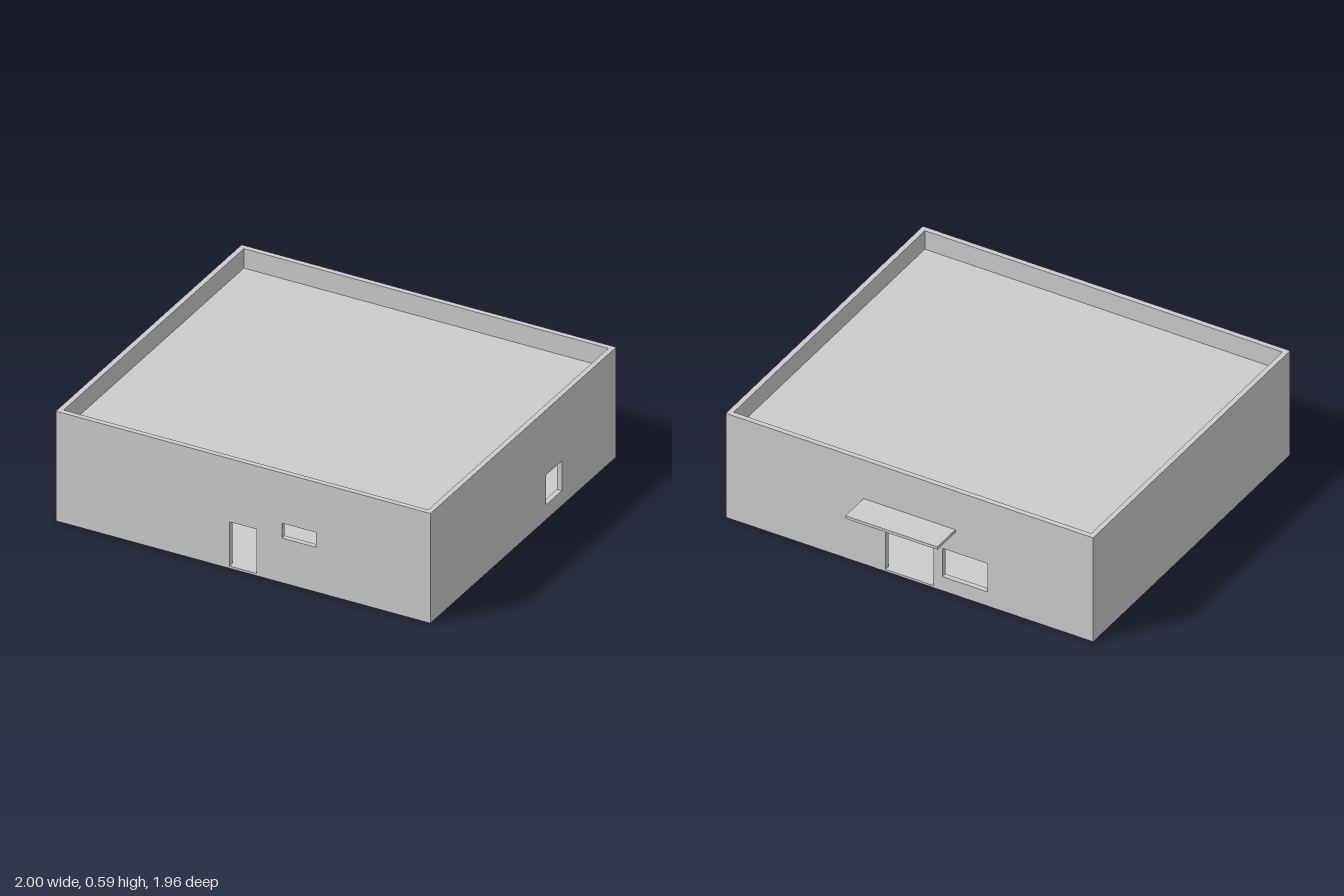
import * as THREE from 'three';

const BACK = -0.815, FRONT = 0.98;   // outer faces along z
const T = 0.027;                     // wall thickness
const BASE = 0.006, TOP = 0.59;      // wall bottom and top
const MID = (FRONT + BACK) / 2, DEPTH = FRONT - BACK;

const material = new THREE.MeshStandardMaterial({ color: 0xcccccc, flatShading: true });

function add(group, name, geometry) {
  const mesh = new THREE.Mesh(geometry, material);
  mesh.name = name;
  group.add(mesh);
  return mesh;
}

// Box given by its [min, max] range on each axis
function block(group, name, [x0, x1], [y0, y1], [z0, z1]) {
  const mesh = add(group, name, new THREE.BoxGeometry(x1 - x0, y1 - y0, z1 - z0));
  mesh.position.set((x0 + x1) / 2, (y0 + y1) / 2, (z0 + z1) / 2);
}

// Upright wall from u0 to u1 with rectangular openings [u0, u1, y0, y1]
function wallGeometry(u0, u1, openings = []) {
  const rect = (path, a, b, c, d) =>
    path.moveTo(a, c).lineTo(b, c).lineTo(b, d).lineTo(a, d).closePath();
  const shape = rect(new THREE.Shape(), u0, u1, BASE, TOP);
  for (const o of openings) shape.holes.push(rect(new THREE.Path(), ...o));
  return new THREE.ExtrudeGeometry(shape, { depth: T, bevelEnabled: false });
}

export function createModel() {
  const model = new THREE.Group();
  model.name = 'building';

  // Floor slab and recessed flat roof
  block(model, 'floorSlab', [-1, 1], [0, BASE], [BACK, FRONT]);
  block(model, 'innerFloor', [-1 + T, 1 - T], [BASE, 0.012], [BACK + T, FRONT - T]);
  block(model, 'roof', [-1 + T, 1 - T], [0.46, 0.485], [BACK + T, FRONT - T]);

  // Front wall: doorway and a high window
  add(model, 'frontWall', wallGeometry(-1, 1, [
    [-0.072, 0.072, 0.012, 0.25],
    [0.207, 0.39, 0.24, 0.32],
  ])).position.z = FRONT - T;

  // Back wall: wide doorway and a window
  add(model, 'backWall', wallGeometry(-1, 1, [
    [-0.13, 0.13, 0.012, 0.25],
    [-0.425, -0.18, 0.08, 0.24],
  ])).position.z = BACK;

  // Side walls between them; the left one has a window
  const sides = [
    ['leftWall', 1 - T, [[0.137, 0.29, 0.08, 0.24]]],
    ['rightWall', -1, []],
  ];
  for (const [name, x, openings] of sides) {
    const geometry = wallGeometry(-FRONT + T, -BACK - T, openings).rotateY(Math.PI / 2);
    add(model, name, geometry).position.x = x;
  }

  // Canopy over the back doorway
  block(model, 'canopy', [-0.25, 0.25], [0.355, 0.371], [-0.98, BACK]);

  // Furniture inside
  block(model, 'lowTable', [-0.15, 0.15], [0.012, 0.112], [MID - DEPTH * 0.05, MID + DEPTH * 0.05]);
  block(model, 'cabinet', [0.2, 0.4], [0.012, 0.22], [-0.245, 0.1]);

  return model;
}
